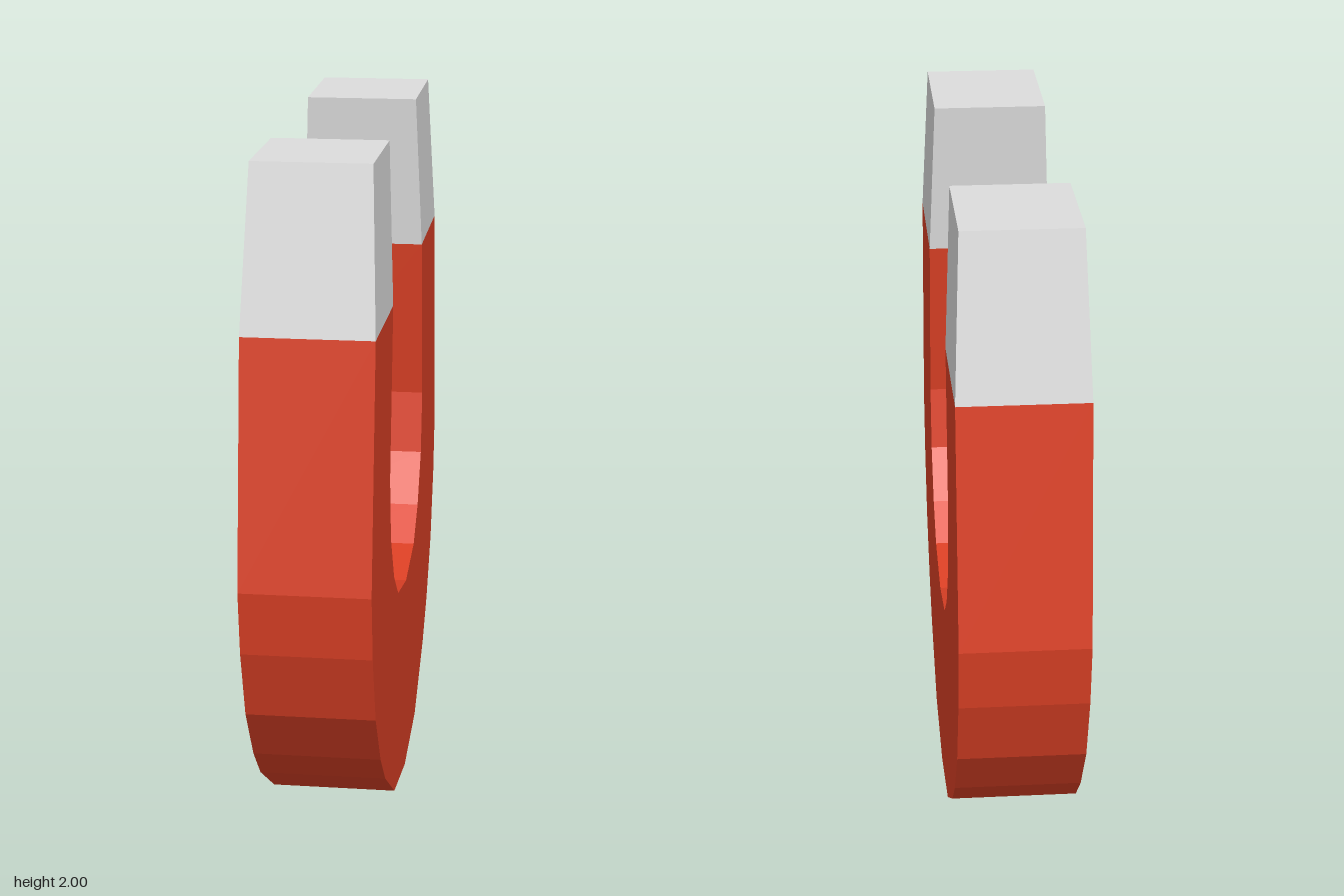
import * as THREE from 'three';

const HALF_WIDTH = 0.18;

// Half outlines as [z, y], from the bottom centre up one arm
const OUTER = [[0, 0], [0.3, 0.045], [0.55, 0.195], [0.67, 0.305], [0.795, 0.475], [0.87, 0.68], [0.9, 0.865], [0.825, 1.55]];
const INNER = [[0, 0.6], [0.225, 0.64], [0.34, 0.73], [0.43, 0.875], [0.46, 1.06], [0.403, 1.545]];

const mirror = (points) => points.slice(1).map(([z, y]) => [-z, y]);

// Horseshoe body: a faceted U profile extruded across the width
function bodyGeometry() {
  const outline = [
    ...mirror(OUTER).reverse(), ...OUTER,
    ...INNER.slice().reverse(), ...mirror(INNER),
  ];
  const shape = new THREE.Shape(outline.map(([z, y]) => new THREE.Vector2(z, y)));
  return new THREE.ExtrudeGeometry(shape, { depth: HALF_WIDTH * 2, bevelEnabled: false })
    .translate(0, 0, -HALF_WIDTH)
    .rotateY(-Math.PI / 2);
}

// Pole tip: a box tapered towards the top and leaning inwards
function tipGeometry() {
  const geometry = new THREE.BoxGeometry(1, 1, 1);
  const pos = geometry.attributes.position;
  for (let i = 0; i < pos.count; i++) {
    const top = pos.getY(i) > 0;
    const outside = pos.getZ(i) > 0;
    const x = Math.sign(pos.getX(i)) * (top ? 0.163 : HALF_WIDTH);
    const [z, y] = top
      ? (outside ? [0.74, 2] : [0.36, 1.996])
      : (outside ? OUTER : INNER).at(-1);
    pos.setXYZ(i, x, y, z);
  }
  geometry.computeVertexNormals();
  return geometry;
}

export function createModel() {
  const red = new THREE.MeshStandardMaterial({ color: 0xdb4025 });
  red.name = 'red paint';
  const grey = new THREE.MeshStandardMaterial({ color: 0xdcdcdc });
  grey.name = 'light grey steel';
  red.flatShading = grey.flatShading = true;

  const magnet = new THREE.Group();
  magnet.name = 'horseshoeMagnet';

  const body = new THREE.Mesh(bodyGeometry(), red);
  body.name = 'body';
  magnet.add(body);

  // One tip on each arm
  const tip = tipGeometry();
  for (const [name, turn] of [['frontTip', 0], ['backTip', Math.PI]]) {
    const mesh = new THREE.Mesh(tip, grey);
    mesh.name = name;
    mesh.rotation.y = turn;
    magnet.add(mesh);
  }
  return magnet;
}
